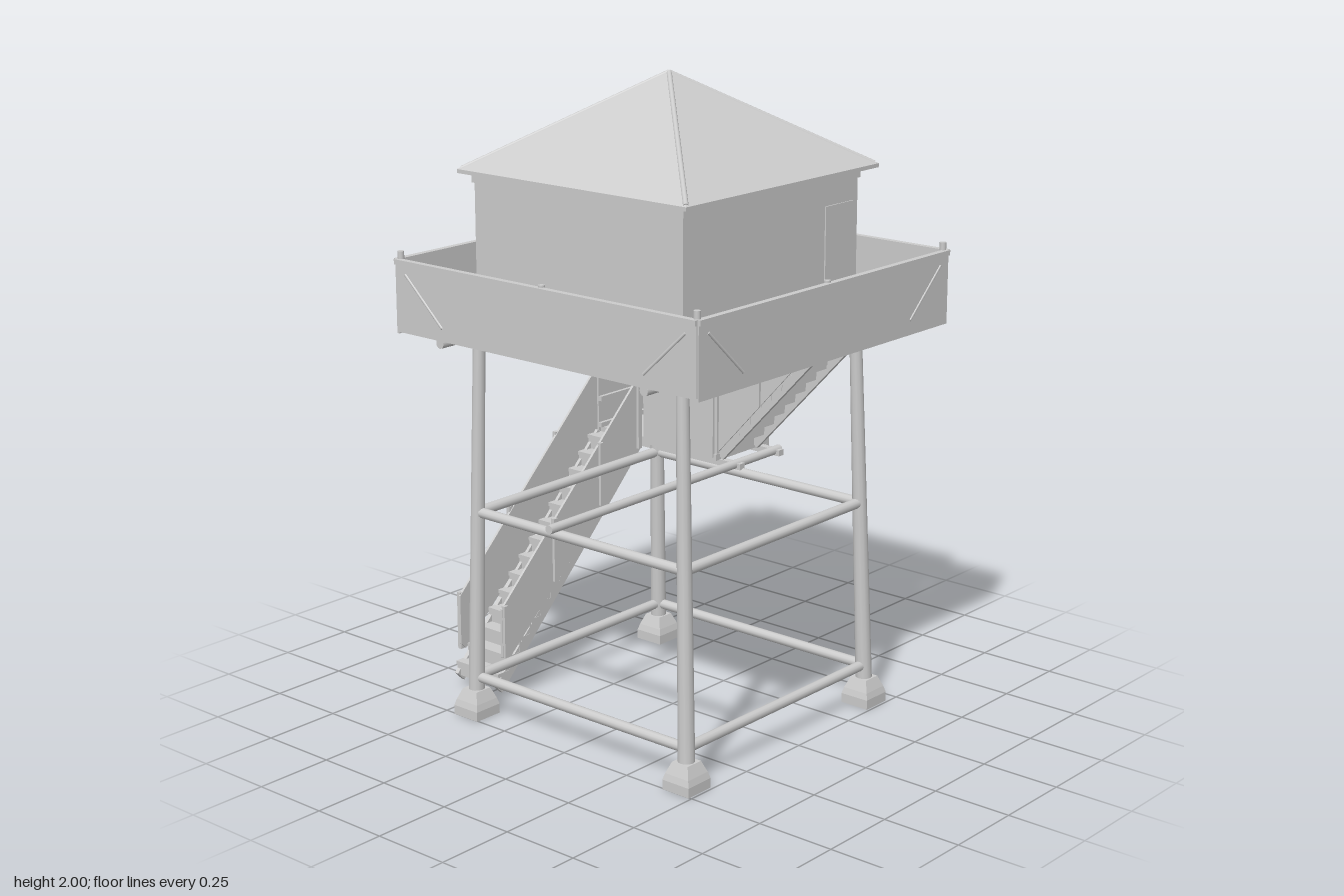
import * as THREE from 'three';

const mat = new THREE.MeshStandardMaterial({ color: 0xcccccc, flatShading: true, side: THREE.DoubleSide });
const smooth = new THREE.MeshStandardMaterial({ color: 0xcccccc });

function add(parent, name, geo, m = mat) {
  const mesh = new THREE.Mesh(geo, m);
  mesh.name = name;
  parent.add(mesh);
  return mesh;
}

// Box given by its low and high corners
function box(parent, name, x0, x1, y0, y1, z0, z1) {
  const mesh = add(parent, name, new THREE.BoxGeometry(x1 - x0, y1 - y0, z1 - z0));
  mesh.position.set((x0 + x1) / 2, (y0 + y1) / 2, (z0 + z1) / 2);
  return mesh;
}

// Round pole between two points
function pole(parent, name, a, b, r0, r1 = r0) {
  const p = new THREE.Vector3(...a), q = new THREE.Vector3(...b);
  const dir = q.clone().sub(p);
  const mesh = add(parent, name, new THREE.CylinderGeometry(r1, r0, dir.length(), 12), smooth);
  mesh.position.copy(p).add(q).multiplyScalar(0.5);
  mesh.quaternion.setFromUnitVectors(new THREE.Vector3(0, 1, 0), dir.normalize());
  return mesh;
}

// Straight flight climbing along +x, with side panels and posts
function flight(name, run, rise, width, panel, posts, steps) {
  const g = new THREE.Group();
  g.name = name;
  const du = run / steps, dy = rise / steps, half = width / 2;
  for (let i = 0; i < steps; i++) {
    box(g, 'tread', i * du, (i + 1) * du + 0.008, (i + 1) * dy - 0.012, (i + 1) * dy, -half, half);
    box(g, 'riser', i * du + 0.004, i * du + 0.01, i * dy, (i + 1) * dy, -half, half);
  }
  const shape = new THREE.Shape(panel.map(p => new THREE.Vector2(...p)));
  for (const s of [-1, 1]) {
    const side = add(g, 'sidePanel', new THREE.ExtrudeGeometry(shape, { depth: 0.008, bevelEnabled: false }));
    side.position.z = s * half - 0.004;
    const stringer = add(g, 'stringer', new THREE.BoxGeometry(Math.hypot(run, rise), 0.04, 0.014));
    stringer.position.set(run / 2 + 0.005, rise / 2 - 0.005, s * (half - 0.008));
    stringer.rotation.z = Math.atan2(rise, run);
    for (const [u, y0, y1] of posts)
      box(g, 'railPost', u - 0.008, u + 0.008, y0, y1, s * (half + 0.006) - 0.007, s * (half + 0.006) + 0.007);
  }
  return g;
}

export function createModel() {
  const root = new THREE.Group();
  root.name = 'lookoutTower';

  // Leaning legs on tapered footings
  const legX = [[-0.385, -0.412], [0.41, 0.442]];
  const legZ = [[-0.365, -0.405], [0.437, 0.455]];
  const at = (pair, y) => pair[1] + (pair[0] - pair[1]) * (y - 0.06) / 1.18;
  for (const lx of legX) for (const lz of legZ) {
    pole(root, 'leg', [lx[1], 0.06, lz[1]], [lx[0], 1.24, lz[0]], 0.026, 0.019);
    const profile = [[0, 0], [0.07, 0], [0.07, 0.03], [0.062, 0.05], [0.042, 0.085], [0, 0.085]];
    const foot = add(root, 'footing', new THREE.LatheGeometry(profile.map(p => new THREE.Vector2(...p)), 4));
    foot.rotation.y = Math.PI / 4;
    foot.position.set(lx[1], 0, lz[1]);
  }

  // Three rings of horizontal braces
  for (const y of [0.125, 0.66, 1.2]) {
    for (const lz of legZ)
      pole(root, 'crossBrace', [at(legX[0], y), y, at(lz, y)], [at(legX[1], y), y, at(lz, y)], 0.016);
    for (const lx of legX)
      pole(root, 'sideBrace', [at(lx, y), y, at(legZ[0], y)], [at(lx, y), y, at(legZ[1], y)], 0.016);
  }
  for (const x of [-0.385, 0.41]) pole(root, 'floorBeam', [x, 1.218, -0.54], [x, 1.218, 0.6], 0.015);

  // Deck with the stair opening at the back
  const X0 = -0.55, X1 = 0.61, Z0 = -0.55, Z1 = 0.61;
  const rect = (C, a, b, c, d) => {
    const s = new C();
    s.moveTo(a, c); s.lineTo(b, c); s.lineTo(b, d); s.lineTo(a, d); s.closePath();
    return s;
  };
  const deckShape = rect(THREE.Shape, X0, X1, Z0, Z1);
  deckShape.holes.push(rect(THREE.Path, 0.03, 0.39, -0.52, -0.36));
  const deck = add(root, 'deck', new THREE.ExtrudeGeometry(deckShape, { depth: 0.02, bevelEnabled: false }));
  deck.rotation.x = Math.PI / 2;
  deck.position.y = 1.25;

  // Parapet panels, top rails, posts and corner struts
  for (const z of [Z0, Z1]) {
    box(root, 'parapetPanel', X0, X1, 1.235, 1.45, z - 0.004, z + 0.004);
    box(root, 'topRail', X0, X1, 1.436, 1.452, z - 0.01, z + 0.01);
  }
  for (const x of [X0, X1]) {
    box(root, 'parapetPanel', x - 0.004, x + 0.004, 1.225, 1.45, Z0, Z1);
    box(root, 'topRail', x - 0.01, x + 0.01, 1.436, 1.452, Z0, Z1);
  }
  for (const i of [0, 0.5, 1]) for (const j of [0, 0.5, 1]) {
    if (i === 0.5 && j === 0.5) continue;
    const corner = i !== 0.5 && j !== 0.5;
    const x = X0 + 0.01 + i * (X1 - X0 - 0.02), z = Z0 + 0.01 + j * (Z1 - Z0 - 0.02);
    pole(root, 'parapetPost', [x, 1.23, z], [x, corner ? 1.475 : 1.458, z], 0.01);
    if (corner) {
      const sx = i ? -1 : 1, sz = j ? -1 : 1;
      pole(root, 'cornerStrut', [x + sx * 0.03, 1.41, z - sz * 0.012], [x + sx * 0.18, 1.27, z - sz * 0.012], 0.005);
      pole(root, 'cornerStrut', [x - sx * 0.012, 1.41, z + sz * 0.03], [x - sx * 0.012, 1.27, z + sz * 0.18], 0.005);
    }
  }

  // Cabin with a door on its left side
  box(root, 'cabin', -0.388, 0.414, 1.24, 1.7, -0.357, 0.44);
  box(root, 'cabinTrim', -0.394, 0.42, 1.675, 1.705, -0.363, 0.446);
  box(root, 'door', 0.41, 0.418, 1.25, 1.61, -0.33, -0.2);

  // Hipped roof with eave board and hip caps
  const cx = 0.015, cz = 0.035, h = 0.44;
  box(root, 'eave', cx - h, cx + h, 1.703, 1.715, cz - h, cz + h);
  const roof = add(root, 'roof', new THREE.ConeGeometry(h * Math.SQRT2, 0.283, 4, 1, true).rotateY(Math.PI / 4));
  roof.position.set(cx, 1.715 + 0.1415, cz);
  for (const sx of [-1, 1]) for (const sz of [-1, 1])
    pole(root, 'hipCap', [cx + sx * (h - 0.01), 1.716, cz + sz * (h - 0.01)], [cx, 1.992, cz], 0.008);

  // Landing with guard panels
  box(root, 'landingFloor', -0.62, -0.12, 0.69, 0.712, -0.62, -0.35);
  for (const z of [-0.58, -0.38]) box(root, 'landingJoist', -0.61, -0.035, 0.672, 0.692, z - 0.012, z + 0.012);
  pole(root, 'landingBeam', [-0.06, 0.687, -0.6], [-0.06, 0.687, 0.49], 0.014);
  box(root, 'landingBackPanel', -0.62, -0.13, 0.67, 0.915, -0.624, -0.616);
  box(root, 'landingSidePanel', -0.624, -0.616, 0.67, 0.915, -0.62, -0.34);
  box(root, 'landingInnerPanel', -0.425, -0.13, 0.7, 0.915, -0.354, -0.346);
  box(root, 'landingEndPanel', -0.134, -0.126, 0.7, 0.915, -0.62, -0.565);
  for (const y of [0.72, 0.81, 0.905]) {
    box(root, 'landingRail', -0.615, -0.13, y - 0.008, y + 0.008, -0.616, -0.604);
    box(root, 'landingRail', -0.616, -0.604, y - 0.008, y + 0.008, -0.615, -0.34);
  }
  for (const x of [-0.61, -0.37, -0.135]) box(root, 'landingPost', x - 0.008, x + 0.008, 0.67, 0.92, -0.632, -0.618);

  // Two stair flights
  const upper = flight('upperStair', 0.5, 0.53, 0.19,
    [[0, 0], [0.44, 0.475], [0.51, 0.53], [0.27, 0.53], [0, 0.27]],
    [[0, 0, 0.27], [0.17, 0.19, 0.44], [0.34, 0.36, 0.53]], 12);
  upper.position.set(-0.13, 0.71, -0.465);
  const lower = flight('lowerStair', 0.67, 0.66, 0.185,
    [[0.02, 0.1], [0.04, 0.08], [0.67, 0.64], [0.67, 0.88], [0.02, 0.26]],
    [[0.03, 0.08, 0.27], [0.26, 0.29, 0.5], [0.48, 0.49, 0.7], [0.665, 0.64, 0.88]], 14);
  lower.rotation.y = Math.PI / 2;
  lower.position.set(-0.525, 0.04, 0.34);
  root.add(upper, lower);

  return root;
}
